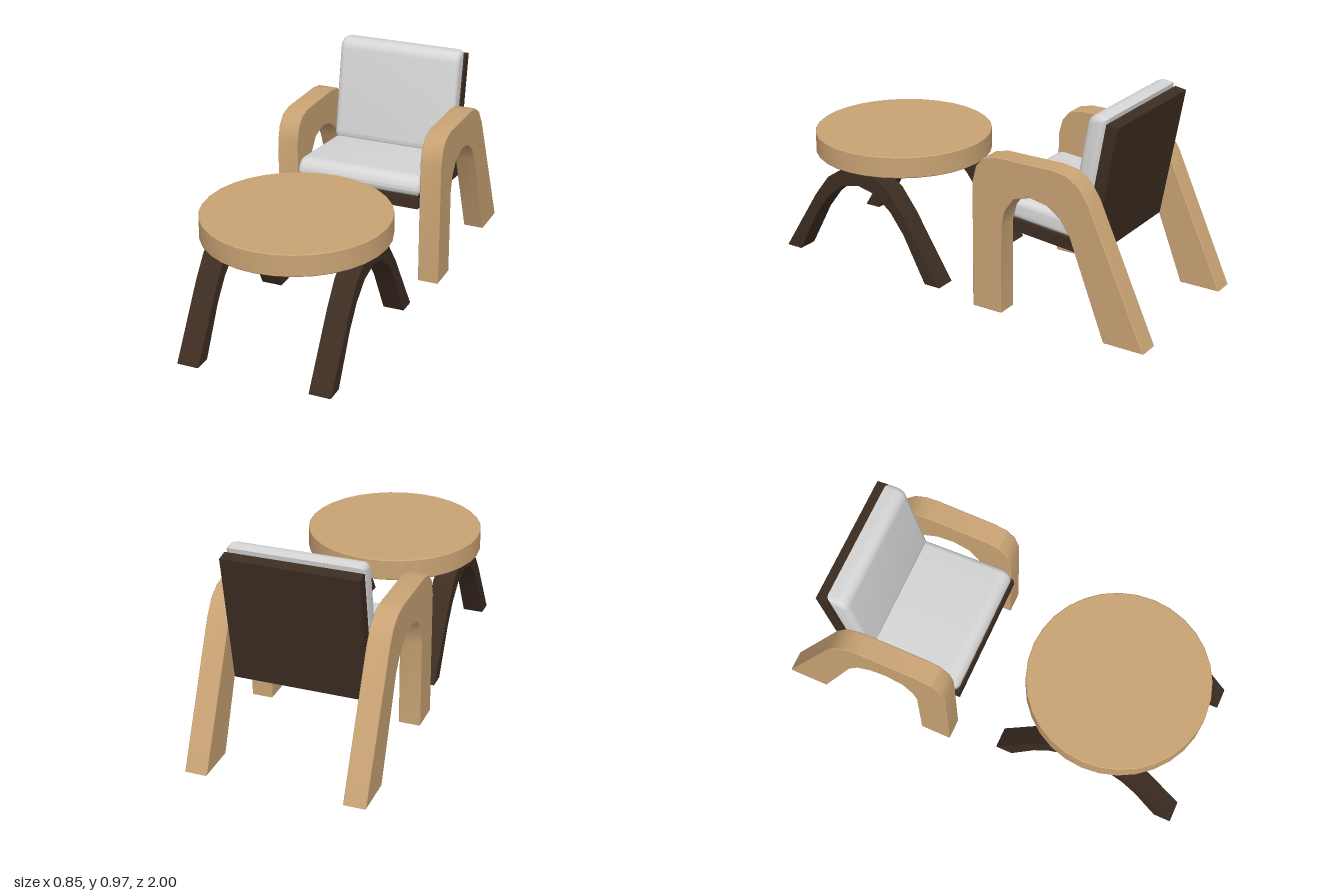
import * as THREE from 'three';
import { toCreasedNormals } from 'three/addons/utils/BufferGeometryUtils.js';

const mat = (name, color) => Object.assign(new THREE.MeshStandardMaterial({ color }), { name });

// Extrude a side outline, given in (z, y), across x and centre it on x = 0
function extrudeAcross(shape, width, bevel, bevelSegments, bevelOffset) {
  const g = new THREE.ExtrudeGeometry(shape, {
    depth: width - 2 * bevel, curveSegments: 8, bevelEnabled: true,
    bevelThickness: bevel, bevelSize: bevel, bevelSegments, bevelOffset,
  });
  g.translate(0, 0, bevel - width / 2);
  g.rotateY(Math.PI / 2); // outline x becomes -z, depth becomes x
  return toCreasedNormals(g, 0.6);
}

const outline = (points) => new THREE.Shape(points.map(([z, y]) => new THREE.Vector2(-z, y)));

// Cushion: square rear corners, rounded front corners, soft bevel all round
function cushionGeometry(width, y0, y1, z0, z1, roundLow, roundHigh) {
  const b = 0.028;
  const [bot, top, back, front] = [y0 + b, y1 - b, -(z0 + b), -(z1 - b)];
  const s = new THREE.Shape();
  s.moveTo(back, bot);
  s.lineTo(back, top);
  s.lineTo(front + roundHigh, top);
  s.quadraticCurveTo(front, top, front, top - roundHigh);
  s.lineTo(front, bot + roundLow);
  s.quadraticCurveTo(front, bot, front + roundLow, bot);
  s.closePath();
  return extrudeAcross(s, width, b, 5, 0);
}

export function createModel() {
  const wood = mat('light wood', 0xc9a374);
  const dark = mat('dark wood', 0x3d2d22);
  const fabric = mat('pale fabric', 0xd6d6d6);

  const model = new THREE.Group();
  model.name = 'chairAndTable';
  const add = (parent, name, geometry, material, x = 0, y = 0, z = 0) => {
    const m = new THREE.Mesh(geometry, material);
    m.name = name;
    m.position.set(x, y, z);
    parent.add(m);
    return m;
  };
  const group = (name, parent) => {
    const g = new THREE.Group();
    g.name = name;
    parent.add(g);
    return g;
  };

  // Armchair: arched side frames
  const chair = group('armchair', model);
  const armShape = outline([
    [-0.135, 0], [-0.135, 0.6], [-0.155, 0.675], [-0.195, 0.72], [-0.26, 0.736],
    [-0.54, 0.736], [-0.61, 0.725], [-0.67, 0.688], [-0.72, 0.615], [-1, 0],
    [-0.805, 0], [-0.63, 0.45], [-0.578, 0.525], [-0.51, 0.57], [-0.43, 0.585],
    [-0.35, 0.56], [-0.303, 0.495], [-0.285, 0.42], [-0.285, 0],
  ]);
  const armGeo = extrudeAcross(armShape, 0.102, 0.003, 1, -0.003);
  for (const side of [-1, 1]) {
    add(chair, side > 0 ? 'leftArmFrame' : 'rightArmFrame', armGeo, wood, side * 0.364);
  }

  // Seat, sloping down towards the back
  const width = 0.622;
  const seat = group('seat', chair);
  seat.position.set(0, 0.38, -0.115);
  seat.rotation.x = -0.095;
  add(seat, 'seatPanel', new THREE.BoxGeometry(width, 0.055, 0.57), dark, 0, 0.0275, -0.285);
  add(seat, 'seatCushion', cushionGeometry(width, 0.055, 0.15, -0.51, 0, 0.008, 0.035), fabric);

  // Backrest, leaning back
  const back = group('backrest', chair);
  back.position.set(0, 0.325, -0.685);
  back.rotation.x = -0.17;
  add(back, 'backPanel', new THREE.BoxGeometry(width, 0.62, 0.055), dark, 0, 0.31, 0.0275);
  add(back, 'backCushion', cushionGeometry(width, 0.12, 0.642, 0.055, 0.148, 0.02, 0.03), fabric);

  // Round table: disc with a slightly eased rim
  const table = group('roundTable', model);
  const [r, y0, y1, e] = [0.423, 0.493, 0.596, 0.004];
  const rim = [[0, y0], [r - e, y0], [r, y0 + e], [r, y1 - e], [r - e, y1], [0, y1]];
  const topGeo = new THREE.LatheGeometry(rim.map(([x, y]) => new THREE.Vector2(x, y)), 32);
  add(table, 'tableTop', toCreasedNormals(topGeo, 0.6), wood, 0, 0, 0.543);

  // Arched table legs, symmetric about the table centre
  const outer = [[0.455, 0], [0.262, 0.31], [0.182, 0.415], [0.095, 0.473]];
  const inner = [[0.372, 0], [0.255, 0.22], [0.182, 0.317], [0.095, 0.386]];
  const mirrored = (half) => half.map(([z, y]) => [-z, y]).reverse();
  const legShape = outline([
    ...outer, [0, 0.496], ...mirrored(outer),
    ...mirrored(inner).reverse(), [0, 0.408], ...inner.slice().reverse(),
  ]);
  const legGeo = extrudeAcross(legShape, 0.102, 0.002, 1, -0.002);
  for (const side of [-1, 1]) {
    add(table, side > 0 ? 'leftLegArch' : 'rightLegArch', legGeo, dark, side * 0.311, 0, 0.545);
  }

  return model;
}
